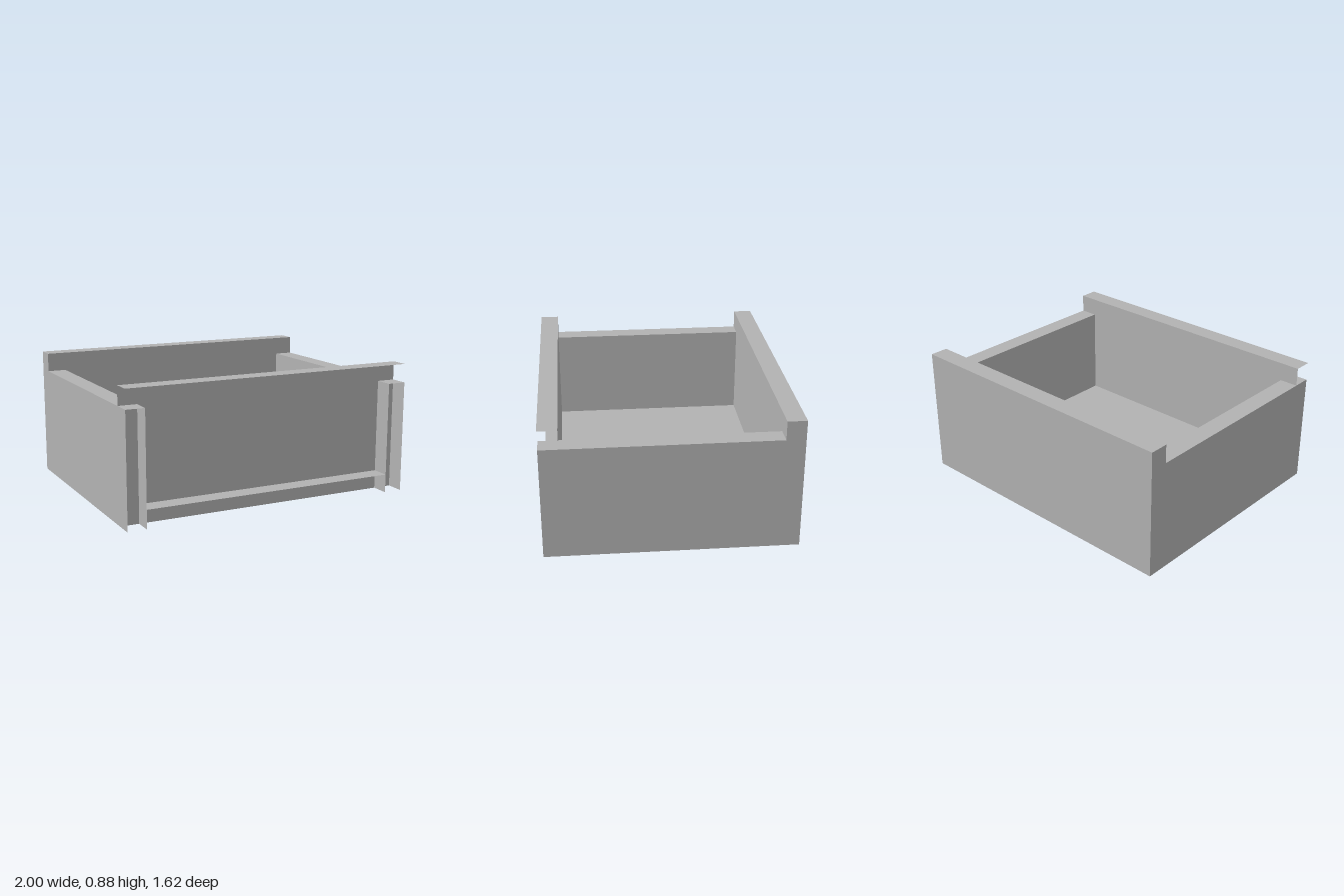
import * as THREE from 'three';

// Open tray: a solid back board, with front, sides and floor made of thin sheets
const W = 1, D = 0.8125, T = 0.125; // half width, half depth, board thickness
const WALL = 0.75, TALL = 0.875;    // side height, front and back height

export function createModel() {
  const group = new THREE.Group();
  const grey = new THREE.MeshStandardMaterial({ color: 0xb2b2b2, side: THREE.DoubleSide });
  grey.name = 'grey';

  const add = (parent, name, geometry, x, y, z) => {
    const mesh = new THREE.Mesh(geometry, grey);
    mesh.name = name;
    mesh.position.set(x, y, z);
    parent.add(mesh);
  };
  const upright = (w, h) => new THREE.PlaneGeometry(w, h);
  const flat = (w, d) => new THREE.PlaneGeometry(w, d).rotateX(-Math.PI / 2);
  const sideways = (d, h, s) => new THREE.PlaneGeometry(d, h).rotateY(s * Math.PI / 2);

  // Back board
  add(group, 'backBoard', new THREE.BoxGeometry(2 * W, TALL, T), 0, TALL / 2, -D + T / 2);

  // Front panel, set back beneath a projecting top lip
  const front = new THREE.Group();
  front.name = 'front';
  add(front, 'frontPanel', upright(2 * W, TALL).rotateY(Math.PI), 0, TALL / 2, D - T);
  add(front, 'frontLip', flat(2 * W, T), 0, TALL, D - T / 2);
  group.add(front);

  // Side walls: outer and inner sheets joined by a top, open at front and bottom
  const length = 2 * D - T;
  for (const s of [-1, 1]) {
    const wall = new THREE.Group();
    wall.name = s > 0 ? 'leftWall' : 'rightWall';
    add(wall, 'outerSheet', sideways(length, WALL, s), s * W, WALL / 2, T / 2);
    add(wall, 'innerSheet', sideways(length, WALL, -s), s * (W - T), WALL / 2, T / 2);
    add(wall, 'wallTop', flat(T, length), s * (W - T / 2), WALL, T / 2);
    group.add(wall);
  }

  // Raised floor, running through to the front edge
  add(group, 'floor', flat(2 * (W - T), length), 0, T, T / 2);

  return group;
}
